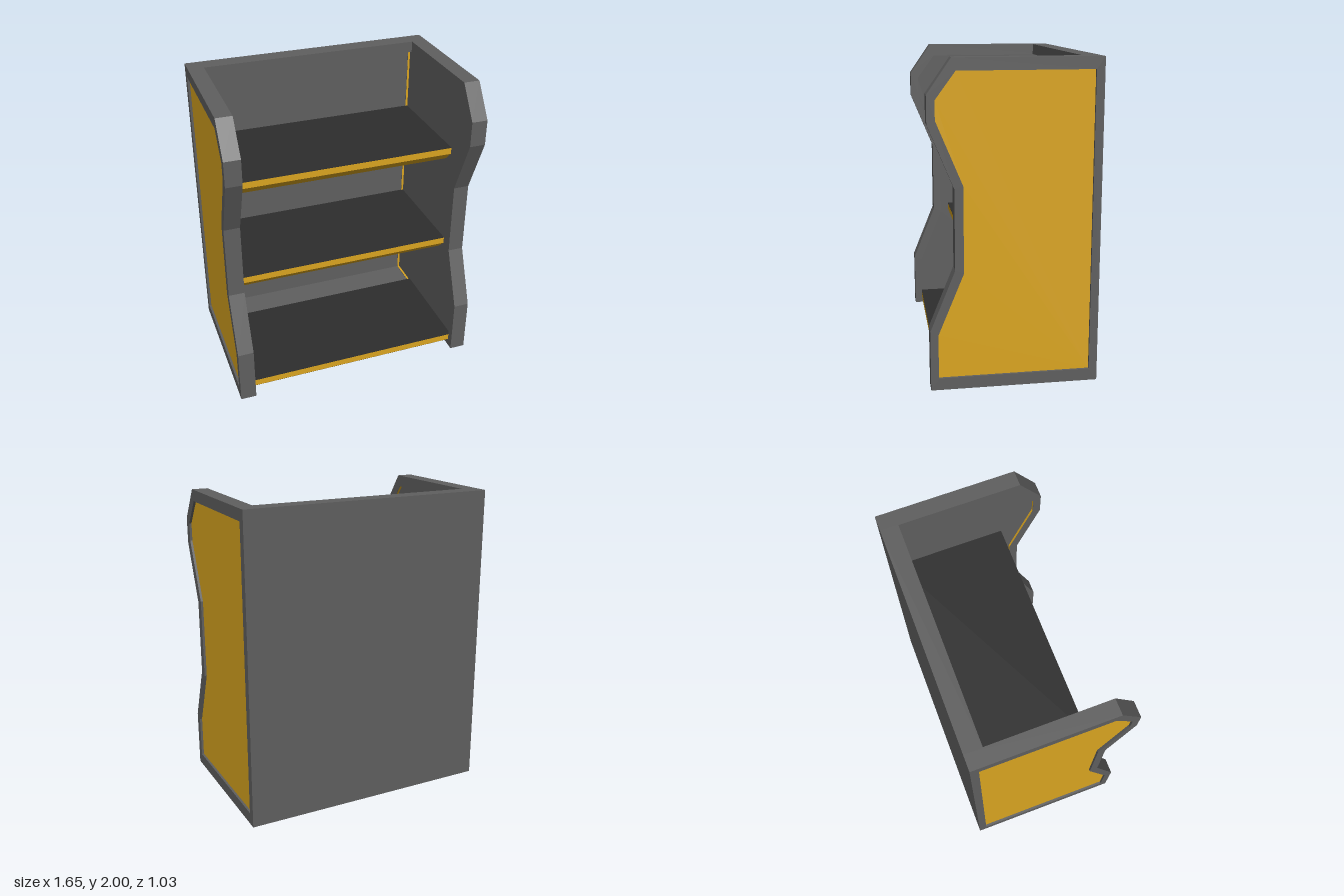
import * as THREE from 'three';

export function createModel() {
  const model = new THREE.Group();
  const mat = (name, color) => {
    const m = new THREE.MeshStandardMaterial({ color });
    m.name = name;
    return m;
  };
  const grey = mat('frame grey', 0x5f5f5f);
  const yellow = mat('panel yellow', 0xdaa520);
  const dark = mat('shelf top dark grey', 0x2d2d2d);

  const add = (name, geometry, material, parent = model) => {
    const mesh = new THREE.Mesh(geometry, material);
    mesh.name = name;
    parent.add(mesh);
    return mesh;
  };
  const points = (list) => list.map(([z, y]) => new THREE.Vector2(z, y));

  // Extrudes a (z, y) outline between two x positions
  const slab = (outline, hole, xa, xb) => {
    const shape = new THREE.Shape(points(outline));
    if (hole) shape.holes.push(new THREE.Path(points(hole)));
    const g = new THREE.ExtrudeGeometry(shape, { depth: Math.abs(xb - xa), bevelEnabled: false });
    g.rotateY(-Math.PI / 2);
    g.translate(Math.max(xa, xb), 0, 0);
    return g;
  };
  // Box from minimum and maximum corners
  const block = (x0, x1, y0, y1, z0, z1) =>
    new THREE.BoxGeometry(x1 - x0, y1 - y0, z1 - z0)
      .translate((x0 + x1) / 2, (y0 + y1) / 2, (z0 + z1) / 2);

  // Side walls: grey rim, recessed yellow panel outside, grey panel inside
  const rim = [[-0.513, 0.015], [0.513, 0.015], [0.513, 0.39], [0.36, 0.765], [0.36, 1.255],
    [0.513, 1.63], [0.513, 1.795], [0.37, 2], [-0.513, 2]];
  const inner = [[-0.462, 0.09], [0.465, 0.09], [0.465, 0.365], [0.308, 0.745], [0.308, 1.27],
    [0.465, 1.65], [0.465, 1.765], [0.345, 1.927], [-0.462, 1.927]];
  const lining = inner.map(([z, y]) => [z * 0.993, 1 + (y - 1) * 0.996]);
  for (const s of [1, -1]) {
    const wall = new THREE.Group();
    wall.name = s > 0 ? 'leftWall' : 'rightWall';
    model.add(wall);
    add('wallRim', slab(rim, inner, s * 0.72, s * 0.823), grey, wall);
    add('outerPanel', slab(inner, null, s * 0.745, s * 0.808), yellow, wall);
    add('innerPanel', slab(inner, null, s * 0.736, s * 0.745), grey, wall);
    // Yellow edge around the inner recess
    add('recessEdge', slab(inner, lining, s * 0.721, s * 0.736), [grey, yellow], wall);
  }

  // Back, its top rail and the floor
  add('backPanel', block(-0.74, 0.74, 0.015, 1.95, -0.513, -0.462), grey);
  add('topRail', block(-0.722, 0.722, 1.927, 2, -0.513, -0.4), grey);
  add('floor', block(-0.74, 0.74, 0.015, 0.09, -0.5125, 0.36), grey);

  // Shelves with a chamfered lower front edge and a dark top
  for (const [top, front] of [[0.11, 0.465], [0.803, 0.25], [1.5, 0.25]]) {
    const back = front - 0.713;
    const shelf = new THREE.Group();
    shelf.name = 'shelf';
    model.add(shelf);
    const profile = [[back, top - 0.11], [front - 0.065, top - 0.11], [front, top - 0.046],
      [front, top - 0.003], [back, top - 0.003]];
    add('shelfBoard', slab(profile, null, -0.735, 0.735), yellow, shelf);
    add('shelfTop', block(-0.735, 0.735, top - 0.003, top, back, front), dark, shelf);
  }
  return model;
}
